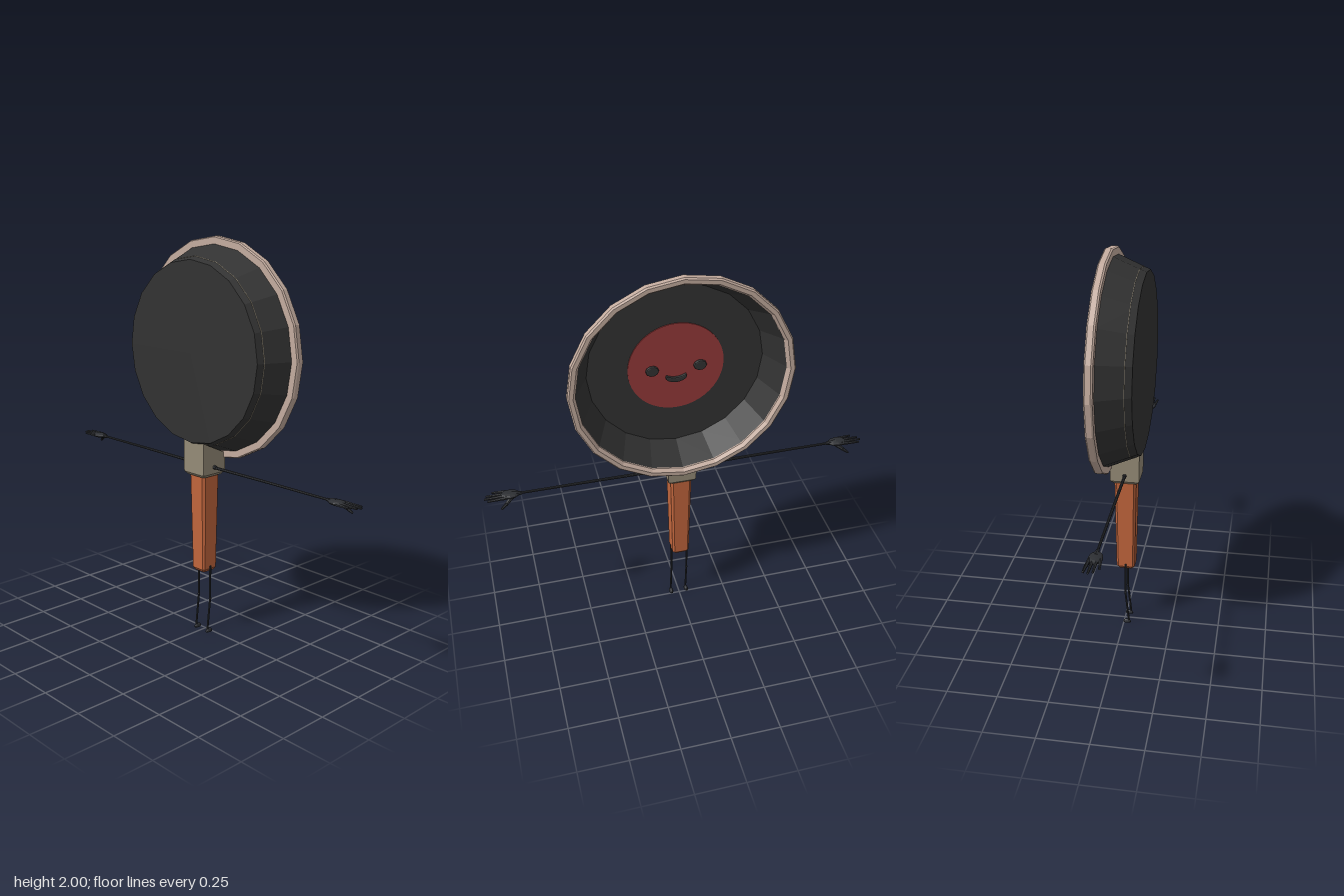
import * as THREE from 'three';

const mat = (name, color) => {
  const m = new THREE.MeshStandardMaterial({ color });
  m.name = name;
  m.flatShading = true;
  return m;
};

export function createModel() {
  const root = new THREE.Group();
  root.name = 'fryingPanFigure';
  const iron = mat('darkIron', 0x323232);
  const rimTan = mat('rimTan', 0xc4ac9f);
  const red = mat('faceRed', 0x963939);
  const wood = mat('handleOrange', 0xc2663d);
  const metal = mat('bracketGrey', 0x958b77);
  const limbDark = mat('limbDark', 0x2c2e32);
  const panY = 1.455;
  const axisX = -0.008;

  const add = (parent, name, geometry, material, x = 0, y = 0, z = 0) => {
    const mesh = new THREE.Mesh(geometry, material);
    mesh.name = name;
    mesh.position.set(x, y, z);
    parent.add(mesh);
    return mesh;
  };

  // Tapered rod between two points
  const rod = (parent, name, a, b, ra, rb, material = limbDark, sides = 8) => {
    const p = new THREE.Vector3(...a), q = new THREE.Vector3(...b);
    const d = q.clone().sub(p);
    const mesh = add(parent, name, new THREE.CylinderGeometry(rb, ra, d.length(), sides), material);
    mesh.position.copy(p).add(q).multiplyScalar(0.5);
    mesh.quaternion.setFromUnitVectors(new THREE.Vector3(0, 1, 0), d.normalize());
    return mesh;
  };

  // Solid of revolution about the x axis, points are [radius, x]
  const turned = (name, points, material) => {
    const g = new THREE.LatheGeometry(points.map(([r, x]) => new THREE.Vector2(r, x)), 20);
    g.rotateZ(-Math.PI / 2);
    return add(root, name, g, material, 0, panY, 0);
  };

  // Pan bowl, with its open side towards +x
  turned('panBowl', [[0, -0.1], [0.442, -0.1], [0.509, 0.06], [0.512, 0.085],
    [0.498, 0.06], [0.43, -0.065], [0, -0.065]], iron);
  turned('panRim', [[0.505, 0.056], [0.54, 0.056], [0.545, 0.064], [0.545, 0.09],
    [0.538, 0.097], [0.518, 0.097], [0.505, 0.08], [0.505, 0.056]], rimTan);
  // Fine seam around the base
  turned('baseSeam', [[0.452, -0.069], [0.4565, -0.068], [0.4575, -0.066], [0.452, -0.065]], metal);

  // Face
  const face = new THREE.Group();
  face.name = 'face';
  root.add(face);
  const disc = new THREE.CylinderGeometry(0.234, 0.234, 0.006, 48);
  disc.rotateZ(-Math.PI / 2);
  add(face, 'faceDisc', disc, red, -0.063, panY, 0);
  for (const s of [1, -1]) {
    const eye = new THREE.Shape();
    eye.absellipse(0, 0, 0.026, 0.021, 0, Math.PI * 2);
    const g = new THREE.ExtrudeGeometry(eye, { depth: 0.008, bevelThickness: 0.008, bevelSize: 0.006, bevelSegments: 2, curveSegments: 5 });
    g.rotateY(Math.PI / 2);
    add(face, s > 0 ? 'leftEye' : 'rightEye', g, iron, -0.062, 1.449, s * 0.117);
  }
  const smile = new THREE.Shape();
  smile.moveTo(-0.045, 0.01);
  smile.quadraticCurveTo(0, -0.012, 0.045, 0.01);
  smile.quadraticCurveTo(0.05, 0.002, 0.04, -0.007);
  smile.quadraticCurveTo(0, -0.03, -0.04, -0.007);
  smile.quadraticCurveTo(-0.05, 0.002, -0.045, 0.01);
  const mouth = new THREE.ExtrudeGeometry(smile, { depth: 0.008, bevelThickness: 0.007, bevelSize: 0.005, bevelSegments: 2, curveSegments: 6 });
  mouth.rotateY(Math.PI / 2);
  add(face, 'mouth', mouth, iron, -0.062, 1.396, 0);

  // Chamfered square column: levels are [y, halfX, halfZ, chamfer]
  const column = (name, levels, material) => {
    const pos = [], index = [];
    for (const [y, a, b, c] of levels) {
      for (const [x, z] of [[a, b - c], [a - c, b], [c - a, b], [-a, b - c],
        [-a, c - b], [c - a, -b], [a - c, -b], [a, c - b]]) pos.push(x, y, z);
    }
    for (let l = 0; l < levels.length - 1; l++) {
      for (let i = 0; i < 8; i++) {
        const p = l * 8 + i, q = l * 8 + (i + 1) % 8;
        index.push(p, p + 8, q, q, p + 8, q + 8);
      }
    }
    const top = (levels.length - 1) * 8;
    for (let i = 1; i < 7; i++) {
      index.push(0, i, i + 1);
      index.push(top, top + i + 1, top + i);
    }
    // Wind every face outwards
    for (let i = 0; i < index.length; i += 3) {
      const [p, q, r] = [0, 1, 2].map(k => new THREE.Vector3().fromArray(pos, index[i + k] * 3));
      const mid = p.clone().add(q).add(r).divideScalar(3);
      mid.y -= (levels[0][0] + levels[levels.length - 1][0]) / 2;
      if (q.sub(p).cross(r.sub(p)).dot(mid) < 0) [index[i + 1], index[i + 2]] = [index[i + 2], index[i + 1]];
    }
    const g = new THREE.BufferGeometry();
    g.setAttribute('position', new THREE.Float32BufferAttribute(pos, 3));
    g.setIndex(index);
    g.computeVertexNormals();
    return add(root, name, g, material, axisX, 0, 0);
  };
  column('handle', [[0.33, 0.036, 0.034, 0.008], [0.345, 0.047, 0.044, 0.01], [0.845, 0.055, 0.054, 0.012]], wood);
  column('bracketFoot', [[0.838, 0.062, 0.06, 0.006], [0.852, 0.073, 0.071, 0.004], [0.86, 0.073, 0.071, 0.003]], metal);

  // Bracket with a sloping top that follows the pan wall
  const side = new THREE.Shape([[-0.081, 0.858], [0.065, 0.858], [0.065, 0.948], [-0.081, 1.016]]
    .map(([x, y]) => new THREE.Vector2(x, y)));
  add(root, 'bracket', new THREE.ExtrudeGeometry(side, { depth: 0.142, bevelEnabled: false }), metal, 0, 0, -0.071);

  // Arms, hands, legs and feet, mirrored across z
  for (const s of [1, -1]) {
    const label = s > 0 ? 'left' : 'right';
    const arm = new THREE.Group();
    arm.name = label + 'Arm';
    root.add(arm);
    const y = 0.885;
    rod(arm, 'sleeveSocket', [axisX, y, s * 0.06], [axisX, y, s * 0.085], 0.012, 0.009);
    rod(arm, 'upperArm', [axisX, y - 0.002, s * 0.07], [axisX, y, s * 0.44], 0.008, 0.007);
    rod(arm, 'forearm', [axisX, y, s * 0.44], [axisX, y, s * 0.81], 0.007, 0.006);
    const palm = new THREE.SphereGeometry(1, 10, 8);
    palm.scale(0.033, 0.013, 0.05);
    add(arm, 'palm', palm, limbDark, -0.01, y, s * 0.85);
    rod(arm, 'wrist', [axisX, y, s * 0.79], [axisX, y, s * 0.84], 0.008, 0.016);
    [[-0.034, -0.042, 0.935], [-0.018, -0.02, 0.965], [-0.002, 0, 0.975], [0.014, 0.02, 0.96]].forEach(([x0, x1, z], i) =>
      rod(arm, 'finger' + (i + 1), [x0, y, s * 0.865], [x1, y, s * z], 0.009, 0.005, limbDark, 6));
    rod(arm, 'thumbBase', [0.002, y - 0.002, s * 0.835], [0.026, 0.86, s * 0.87], 0.012, 0.009, limbDark, 6);
    rod(arm, 'thumbTip', [0.026, 0.86, s * 0.87], [0.037, 0.838, s * 0.9], 0.009, 0.005, limbDark, 6);

    const leg = new THREE.Group();
    leg.name = label + 'Leg';
    root.add(leg);
    const z = s * 0.042;
    rod(leg, 'thigh', [axisX, 0.36, z], [axisX, 0.18, z], 0.006, 0.005);
    add(leg, 'knee', new THREE.SphereGeometry(0.007, 8, 6), limbDark, axisX, 0.18, z);
    rod(leg, 'shin', [axisX, 0.18, z], [-0.027, 0.012, z], 0.005, 0.005);
    const foot = new THREE.SphereGeometry(1, 10, 6, 0, Math.PI * 2, 0, Math.PI / 2);
    foot.scale(0.021, 0.017, 0.011);
    add(leg, 'foot', foot, limbDark, -0.017, 0.002, z);
    const sole = new THREE.CylinderGeometry(1, 1, 0.003, 10);
    sole.scale(0.021, 1, 0.011);
    add(leg, 'sole', sole, limbDark, -0.017, 0.0015, z);
  }
  return root;
}
